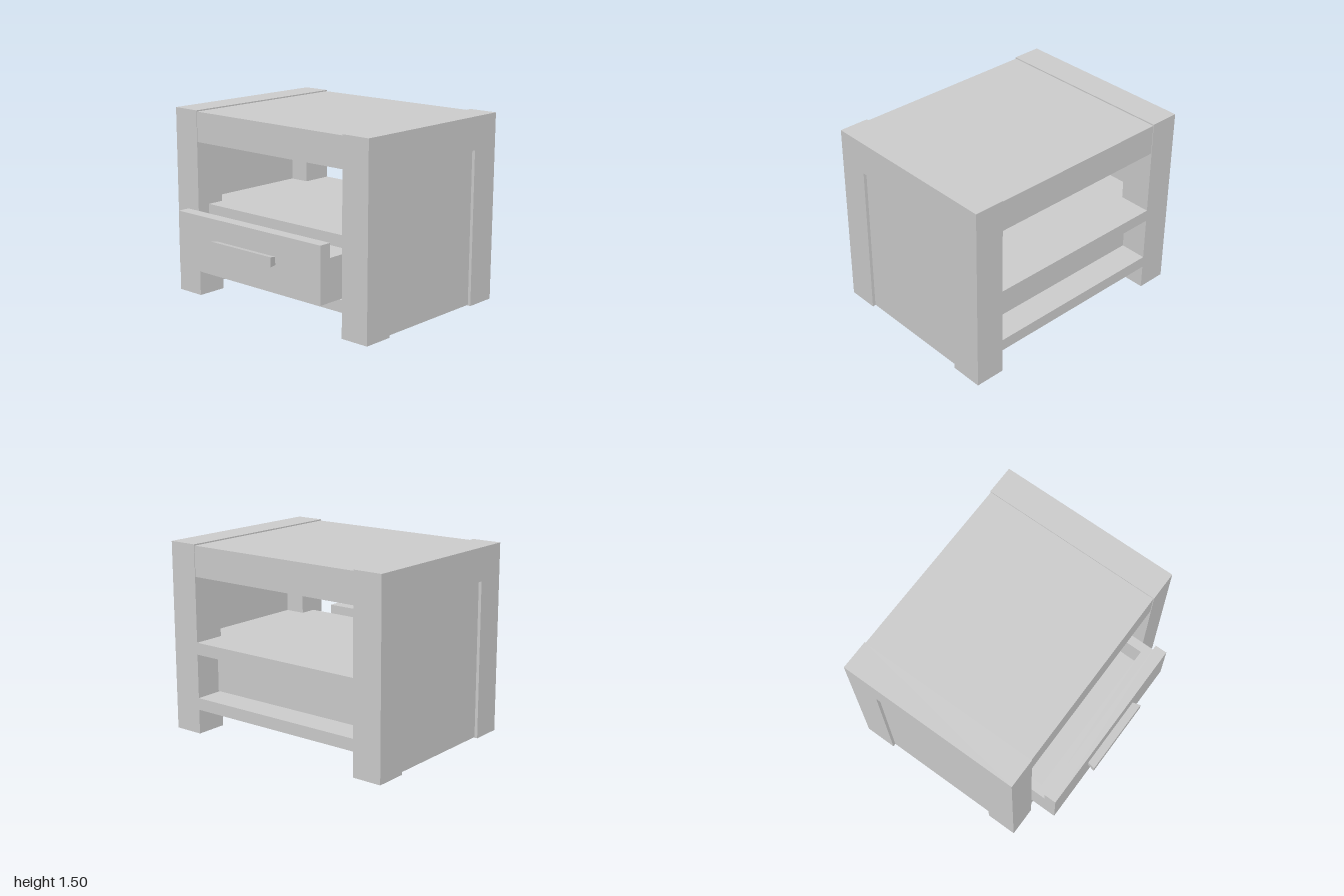
import * as THREE from 'three';

const material = new THREE.MeshStandardMaterial({ color: 0xcccccc, flatShading: true });

// Box given by its min and max along each axis
function box(name, [x0, x1], [y0, y1], [z0, z1]) {
  const mesh = new THREE.Mesh(new THREE.BoxGeometry(x1 - x0, y1 - y0, z1 - z0), material);
  mesh.position.set((x0 + x1) / 2, (y0 + y1) / 2, (z0 + z1) / 2);
  mesh.name = name;
  return mesh;
}

// Horizontal board notched at its corners so it reaches the side panels between the legs
function notchedBoard(name, y0, y1, front) {
  const half = [[0.76, -0.89], [0.76, -0.63], [0.93, -0.63], [0.93, 0.36], [0.76, 0.36], [0.76, front]];
  const outline = [...half, ...half.map(([x, z]) => [-x, z]).reverse()];
  const shape = new THREE.Shape(outline.map(([x, z]) => new THREE.Vector2(x, -z)));
  const geometry = new THREE.ExtrudeGeometry(shape, { depth: y1 - y0, bevelEnabled: false });
  geometry.rotateX(-Math.PI / 2).translate(0, y0, 0);
  const mesh = new THREE.Mesh(geometry, material);
  mesh.name = name;
  return mesh;
}

// Two legs and their top rail as one arch, with a recessed panel inside
function createSide(name, sign) {
  const side = new THREE.Group();
  side.name = name;
  const points = [[-0.89, 0], [-0.63, 0], [-0.63, 1.24], [0.36, 1.24], [0.36, 0], [0.61, 0], [0.61, 1.5], [-0.89, 1.5]];
  const shape = new THREE.Shape(points.map(([z, y]) => new THREE.Vector2(z, y)));
  const geometry = new THREE.ExtrudeGeometry(shape, { depth: 0.24, bevelEnabled: false });
  geometry.rotateY(-Math.PI / 2).translate(sign > 0 ? 1 : -0.76, 0, 0);
  const frame = new THREE.Mesh(geometry, material);
  frame.name = 'legFrame';
  const panelX = sign > 0 ? [0.93, 0.975] : [-0.975, -0.93];
  side.add(frame, box('sidePanel', panelX, [0.005, 1.24], [-0.63, 0.36]));
  return side;
}

// Half-open drawer: open tray, tall front and flared handle
function createDrawer() {
  const drawer = new THREE.Group();
  drawer.name = 'drawer';
  const tray = [0.3, 0.63];
  drawer.add(
    box('drawerBottom', [-0.675, 0.675], [0.3, 0.37], [-0.605, 0.645]),
    box('drawerBack', [-0.75, 0.75], tray, [-0.68, -0.605]),
    box('drawerInnerFront', [-0.75, 0.75], tray, [0.645, 0.725]),
    box('drawerFront', [-0.75, 0.75], [0.3, 0.74], [0.725, 0.825])
  );
  for (const x of [[-0.75, -0.675], [0.675, 0.75]]) {
    drawer.add(box('drawerSide', x, tray, [-0.605, 0.645]));
  }

  // The handle narrows towards the drawer front
  const handle = box('handle', [-0.32, 0.32], [0.51, 0.585], [0.825, 0.89]);
  const position = handle.geometry.attributes.position;
  for (let i = 0; i < position.count; i++) {
    if (position.getZ(i) > 0) continue;
    position.setX(i, position.getX(i) * 0.95);
    if (position.getY(i) > 0) position.setY(i, position.getY(i) - 0.012);
  }
  handle.geometry.computeVertexNormals();
  drawer.add(handle);
  return drawer;
}

export function createModel() {
  const model = new THREE.Group();
  model.name = 'nightstand';
  model.add(createSide('leftSide', 1), createSide('rightSide', -1));

  // Top board with a rail below its front and back edges
  const width = [-0.76, 0.76];
  model.add(
    box('topBoard', width, [1.37, 1.49], [-0.885, 0.605]),
    box('backRail', width, [1.25, 1.37], [-0.885, -0.775]),
    box('frontRail', width, [1.25, 1.37], [0.495, 0.605])
  );

  // Shelves above and below the drawer
  model.add(
    notchedBoard('middleShelf', 0.64, 0.735, 0.5),
    notchedBoard('bottomShelf', 0.195, 0.29, 0.605),
    createDrawer()
  );
  return model;
}
